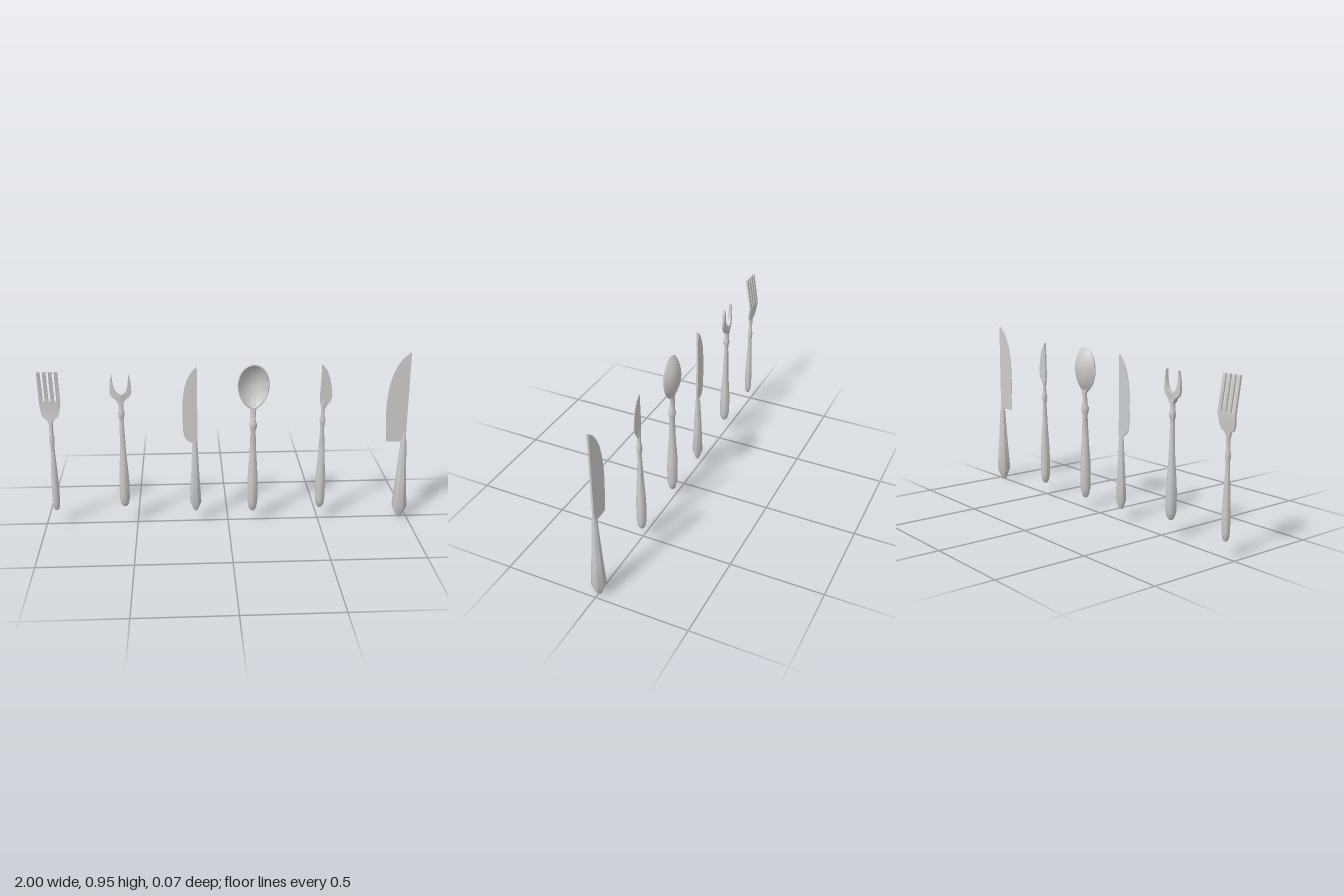
import * as THREE from 'three';
import { toCreasedNormals } from 'three/addons/utils/BufferGeometryUtils.js';

const material = new THREE.MeshStandardMaterial({ color: 0xcccccc, side: THREE.DoubleSide });

function part(name, geometry, crease = 0.5) {
  const mesh = new THREE.Mesh(toCreasedNormals(geometry, crease), material);
  mesh.name = name;
  return mesh;
}

// Joins closed rings of points into one skin
function skin(rings) {
  const n = rings[0].length, index = [];
  for (let r = 0; r < rings.length - 1; r++) {
    for (let i = 0; i < n; i++) {
      const j = (i + 1) % n, a = r * n, b = a + n;
      index.push(a + i, b + i, a + j, a + j, b + i, b + j);
    }
  }
  const g = new THREE.BufferGeometry();
  g.setAttribute('position', new THREE.Float32BufferAttribute(rings.flat(2), 3));
  g.setIndex(index);
  g.computeVertexNormals();
  return g;
}

// Upright handle from sections [y, half width, half depth, z offset]
function handle(sections, sides, crease) {
  const grow = 1 / Math.cos(Math.PI / sides);
  const ring = ([y, rx, rz = rx, z = 0]) => Array.from({ length: sides }, (_, i) => {
    const a = (i + 0.5) / sides * Math.PI * 2;
    return [Math.cos(a) * rx * grow, y, z + Math.sin(a) * rz * grow];
  });
  const first = sections[0], last = sections[sections.length - 1];
  const closed = [[first[0], 0, 0, first[3]], ...sections, [last[0], 0, 0, last[3]]];
  return part('handle', skin(closed.map(ring)), crease);
}

// Flat outline, 2 units thick about z = 0, with z then set by a rule
function plate(name, points, rule, crease) {
  const shape = new THREE.Shape(points.map(([x, y]) => new THREE.Vector2(x, y)));
  const g = new THREE.ExtrudeGeometry(shape, { depth: 2, bevelEnabled: false });
  g.translate(0, 0, -1);
  const p = g.attributes.position;
  for (let i = 0; i < p.count; i++) p.setZ(i, rule(p.getX(i), p.getY(i), p.getZ(i)));
  g.computeVertexNormals();
  return part(name, g, crease);
}

// Blade thick at the spine and thin at the cutting edge
const blade = (points, spine, width) => plate('blade', points,
  (x, y, s) => s * (0.005 - 0.0035 * Math.min(1, Math.abs(x - spine) / width)));

function utensil(name, x, ...parts) {
  const g = new THREE.Group();
  g.name = name;
  g.position.x = x;
  g.add(...parts);
  return g;
}

function fork() {
  // Four tines above a flared head
  const outline = [[-0.011, 0.585], [0.011, 0.585], [0.018, 0.607], [0.04, 0.622], [0.048, 0.645], [0.055, 0.695]];
  for (let i = 3; i >= 0; i--) {
    const c = -0.0455 + i * 0.0303;
    outline.push([c + 0.0095, 0.705], [c + 0.0085, 0.877], [c - 0.0085, 0.877], [c - 0.0095, 0.705]);
  }
  outline.push([-0.055, 0.695], [-0.048, 0.645], [-0.04, 0.622], [-0.018, 0.607]);
  const bend = y => y < 0.7 ? -0.015 * Math.max(0, (y - 0.585) / 0.115) : -0.015 + 0.03 * (y - 0.7) / 0.177;
  return utensil('fork', -0.942,
    handle([[0.085, 0.009], [0.1, 0.016], [0.13, 0.019], [0.22, 0.02], [0.3, 0.017], [0.42, 0.011],
      [0.47, 0.01], [0.485, 0.013], [0.51, 0.013], [0.525, 0.01], [0.59, 0.01], [0.615, 0.014, 0.007, -0.003]], 10, 0.9),
    plate('head', outline, (x, y, s) => bend(y) + s * 0.005));
}

function carvingFork() {
  // Crescent head, thickest in the middle
  const half = [[0.013, 0.695], [0.025, 0.715], [0.05, 0.735], [0.057, 0.755], [0.056, 0.79], [0.052, 0.825],
    [0.043, 0.857], [0.042, 0.825], [0.039, 0.795], [0.031, 0.765], [0.018, 0.748]];
  const mirrored = half.map(([x, y]) => [-x, y]).reverse();
  return utensil('carvingFork', -0.567,
    handle([[0.1, 0.01], [0.115, 0.02], [0.145, 0.026], [0.23, 0.027], [0.3, 0.024], [0.42, 0.016],
      [0.59, 0.011], [0.61, 0.011], [0.625, 0.016], [0.645, 0.016], [0.66, 0.012], [0.7, 0.013], [0.73, 0.018, 0.014]], 10, 0.9),
    plate('prongs', [[0, 0.69], ...half, [0, 0.741], ...mirrored],
      (x, y, s) => s * 0.016 * (1 - 0.65 * Math.abs(x) / 0.057), 0.7));
}

function tableKnife() {
  return utensil('tableKnife', -0.179,
    handle([[0.065, 0.01], [0.118, 0.031, 0.026], [0.3, 0.021, 0.019], [0.47, 0.0135, 0.01]], 8, 0.5),
    blade([[0.015, 0.46], [0.015, 0.893], [-0.015, 0.86], [-0.037, 0.82], [-0.053, 0.77], [-0.062, 0.7],
      [-0.065, 0.62], [-0.062, 0.53], [-0.055, 0.497], [-0.042, 0.478], [-0.013, 0.46]], 0.015, 0.08));
}

function spoon() {
  // Bowl skin runs from the inner centre over the rim to the back
  const ring = (r, z) => Array.from({ length: 28 }, (_, i) => {
    const a = i / 28 * Math.PI * 2, s = Math.sin(a), c = Math.cos(a);
    const w = s < 0 ? Math.sign(c) * Math.abs(c) ** 1.25 : c;
    return [0.085 * w * r, 0.785 + s * r * (s > 0 ? 0.117 : 0.135), z];
  });
  const steps = [0, 0.25, 0.5, 0.7, 0.85, 0.95];
  const inner = steps.map(r => ring(r, 0.014 - 0.045 * (1 - (r / 0.95) ** 2)));
  const outer = [1, 0.93, 0.82, 0.68, 0.5, 0.25, 0].map(r => ring(r, 0.006 - 0.043 * (1 - r ** 2.4)));
  return utensil('spoon', 0.135,
    handle([[0.06, 0.01, 0.01, 0.006], [0.075, 0.02, 0.018, 0.006], [0.11, 0.026, 0.026, 0.006], [0.22, 0.028, 0.028, 0.006],
      [0.29, 0.025, 0.025, 0.005], [0.4, 0.018, 0.018, 0.005], [0.53, 0.013, 0.013, 0.004], [0.55, 0.019, 0.019, 0.005],
      [0.57, 0.019, 0.019, 0.005], [0.59, 0.013, 0.013, 0.004], [0.64, 0.014, 0.012, 0.002], [0.67, 0.024, 0.008, 0],
      [0.685, 0.028, 0.003, -0.005]], 10, 0.9),
    part('bowl', skin([...inner, ...outer]), 0.9));
}

function butterKnife() {
  return utensil('butterKnife', 0.51,
    handle([[0.068, 0.01], [0.085, 0.02], [0.115, 0.025, 0.024], [0.22, 0.026, 0.025], [0.3, 0.022], [0.42, 0.015],
      [0.54, 0.01], [0.56, 0.013], [0.58, 0.015], [0.6, 0.011], [0.635, 0.008], [0.66, 0.012, 0.01], [0.7, 0.012, 0.004]], 10, 0.9),
    blade([[-0.006, 0.64], [0.008, 0.64], [0.022, 0.665], [0.04, 0.688], [0.047, 0.715], [0.044, 0.76], [0.033, 0.815],
      [0.016, 0.86], [-0.012, 0.893], [-0.015, 0.79], [-0.018, 0.71], [-0.014, 0.67]], -0.015, 0.06));
}

function chefKnife() {
  return utensil('chefKnife', 0.96,
    handle([[0, 0.012], [0.065, 0.039, 0.036], [0.25, 0.026, 0.024], [0.45, 0.0145, 0.013], [0.5, 0.008, 0.005]], 8, 0.5),
    blade([[0.01, 0.45], [0.01, 0.953], [-0.03, 0.918], [-0.057, 0.88], [-0.08, 0.83], [-0.095, 0.77],
      [-0.104, 0.7], [-0.106, 0.63], [-0.102, 0.54], [-0.095, 0.45]], 0.01, 0.115));
}

export function createModel() {
  const set = new THREE.Group();
  set.name = 'cutlerySet';
  set.add(fork(), carvingFork(), tableKnife(), spoon(), butterKnife(), chefKnife());
  return set;
}
